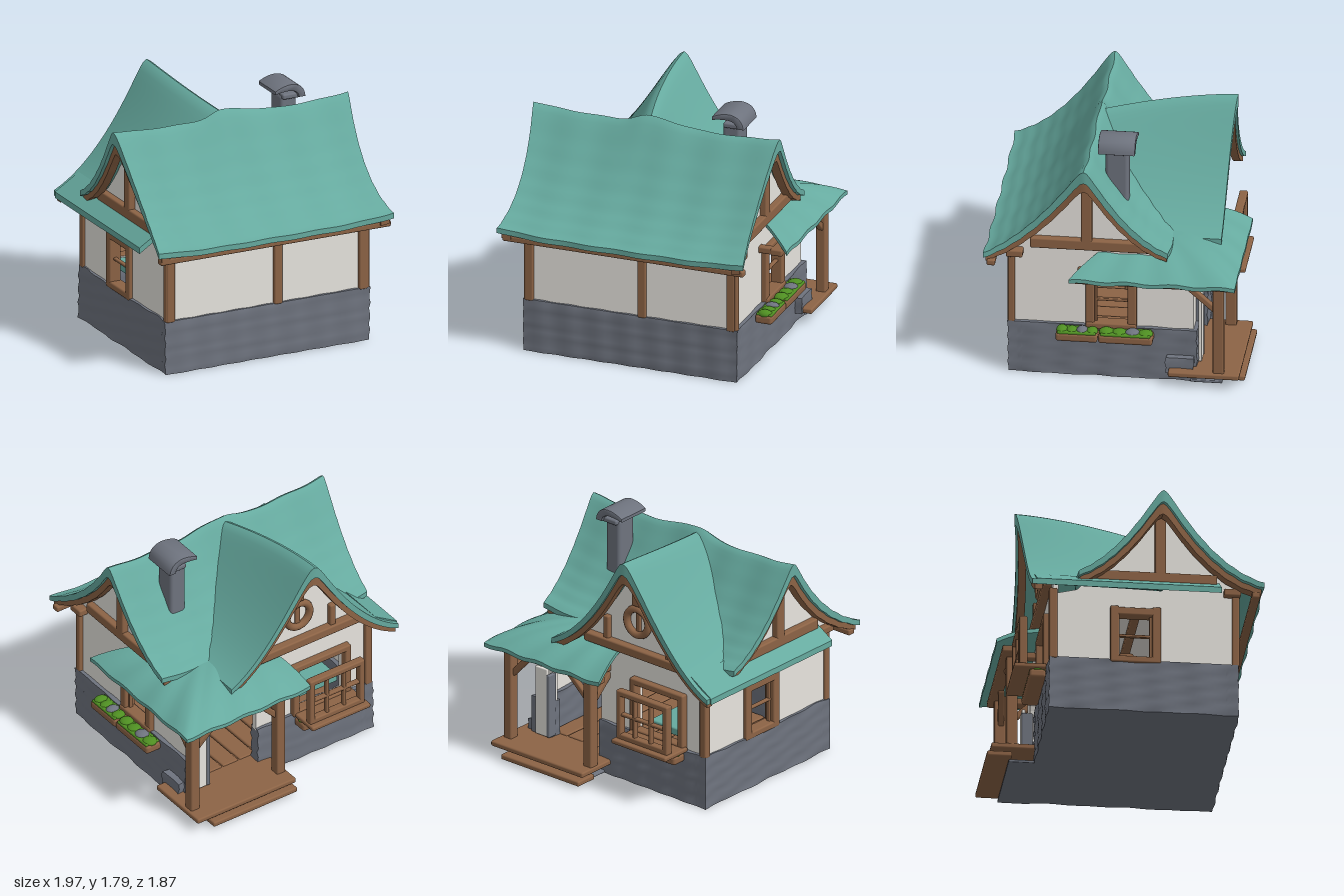
import * as THREE from 'three';
import { toCreasedNormals } from 'three/addons/utils/BufferGeometryUtils.js';
import { RoundedBoxGeometry } from 'three/addons/geometries/RoundedBoxGeometry.js';

const V = (x, y, z) => new THREE.Vector3(x, y, z);
const lerp = THREE.MathUtils.lerp;
const mat = (name, color) => Object.assign(new THREE.MeshStandardMaterial({ color }), { name });

// Concave roof slope: height lost at distance d from the ridge, softly rounded over radius r
const slope = (d, reach, drop, r) => {
  const t = (Math.hypot(d, r) - r) / (Math.hypot(reach, r) - r);
  return drop * (1.6 * t - 0.6 * t * t);
};
const mainY = z => 1.65 - (z > 0.2 ? slope(z - 0.2, 0.72, 0.69, 0.03) : slope(0.2 - z, 0.6, 0.64, 0.03));
const gableY = (x, rx, ridge) => ridge - (x > rx ? slope(x - rx, 0.48 - rx, ridge - 0.99, 0.045) : slope(rx - x, rx + 0.98, ridge - 0.94, 0.045));

// Main roof surface: u runs along x, s from the front eave (-1) over the ridge to the back eave (1)
function mainRoof(u, s) {
  const z = s < 0 ? 0.2 - s * 0.72 : 0.2 - s * 0.6;
  const flare = 0.045 * (s < 0 ? (2 * -s - 1) ** 2 : 1 - s);
  const x = lerp(-0.945 - flare, 0.845 + flare, u);
  const ridge = 1 - Math.abs(s);
  const lift = 0.03 * (2 * u - 1) ** 4 + 0.06 * ridge ** 3 * Math.exp(-(((x + 0.12) / (x > -0.12 ? 0.28 : 0.12)) ** 2));
  return V(x, mainY(z) + lift + 0.003 * Math.sin(s * 42) * (1 - ridge ** 4), z + 0.006 * Math.sin(x * 17));
}
// Back gable roof: u runs from the back verge to the main ridge, s from left eave to right eave
function gableRoof(u, s) {
  const rx = -0.22 + 0.12 * u * u, ridge = 1.795 - 0.12 * u ** 1.4;
  const x = s < 0 ? lerp(rx, -0.98, -s) : lerp(rx, 0.48, s);
  const zBack = -0.735 - 0.04 * (1 - Math.abs(s)) ** 4;
  return V(x, gableY(x, rx, ridge), lerp(zBack, 0.2, u));
}
// Porch roof wraps the corner: u follows the eave, s climbs inward
function porchRoof(u, s) {
  const o = 0.54 * s, y = 0.86 + 0.155 * (1 - (1 - s) ** 2.4);
  const a = V(0.98 - o, y, 0.3 - o * 0.8), b = V(0.98 - o, y, -0.89 + o), c = V(-0.1 + o * 0.25, y, -0.89 + o);
  const p = u < 0.5 ? a.lerp(b, u * 2) : b.lerp(c, u * 2 - 1);
  p.y += 0.008 * Math.sin(u * 45) * (1 - s);
  return p;
}
// Roof and bargeboard thickness, thinning toward the eaves
const roofThick = s => lerp(0.09, 0.04, Math.abs(s));
const boardThick = s => lerp(0.085, 0.045, Math.abs(s));

// Solid sheet hung below a surface, with vertical thickness thick(s)
function sheet(fn, nu, ns, thick, s0 = -1, s1 = 1) {
  const pos = [], idx = [], n = 2 * (ns + 1);
  for (let i = 0; i <= nu; i++) {
    const under = [];
    for (let j = 0; j <= ns; j++) {
      const s = lerp(s0, s1, j / ns), p = fn(i / nu, s);
      pos.push(p.x, p.y, p.z);
      under.unshift(p.x, p.y - thick(s), p.z);
    }
    // Underside points run back in reverse order
    pos.push(...under);
  }
  const quad = (a, b, c, d) => idx.push(a, b, c, a, c, d);
  for (let i = 0; i < nu; i++) for (let j = 0; j < n; j++) {
    const k = (j + 1) % n;
    quad(i * n + j, i * n + k, (i + 1) * n + k, (i + 1) * n + j);
  }
  for (let j = 0; j < ns; j++) {
    quad(j, n - 1 - j, n - 2 - j, j + 1);
    const e = nu * n;
    quad(e + j, e + j + 1, e + n - 2 - j, e + n - 1 - j);
  }
  // Turn faces outward by the sign of the enclosed volume
  let vol = 0;
  const at = k => V(pos[3 * k], pos[3 * k + 1], pos[3 * k + 2]);
  for (let i = 0; i < idx.length; i += 3) vol += at(idx[i]).dot(at(idx[i + 1]).cross(at(idx[i + 2])));
  if (vol < 0) idx.reverse();
  const geo = new THREE.BufferGeometry();
  geo.setAttribute('position', new THREE.Float32BufferAttribute(pos, 3));
  geo.setIndex(idx);
  return toCreasedNormals(geo, 0.9);
}

export function createModel() {
  const g = new THREE.Group();
  const teal = mat('roof teal', 0x66aa9f), wood = mat('timber brown', 0x8c6345), cream = mat('plaster cream', 0xe8e5df);
  const stone = mat('stone grey', 0x6e737e), green = mat('leaf green', 0x4f8f22);
  const add = (name, geo, m) => {
    const mesh = new THREE.Mesh(geo, m);
    mesh.name = name;
    g.add(mesh);
    return mesh;
  };
  // Rounded box from min and max corners
  const box = (name, m, x0, x1, y0, y1, z0, z1, r = 0.012) => {
    const w = x1 - x0, h = y1 - y0, d = z1 - z0;
    const mesh = add(name, new RoundedBoxGeometry(w, h, d, 2, Math.min(r, w / 3, h / 3, d / 3)), m);
    mesh.position.set((x0 + x1) / 2, (y0 + y1) / 2, (z0 + z1) / 2);
  };
  const beam = (name, a, b, w) => {
    const dir = b.clone().sub(a);
    const mesh = add(name, new RoundedBoxGeometry(w, dir.length(), w, 2, w / 4), wood);
    mesh.position.copy(a).add(b).multiplyScalar(0.5);
    mesh.quaternion.setFromUnitVectors(V(0, 1, 0), dir.normalize());
  };
  // Lumpy masonry block
  const masonry = (x0, x1, y0, y1, z0, z1) => {
    const w = x1 - x0, h = y1 - y0, d = z1 - z0, seg = v => Math.max(2, Math.round(v * 26));
    const geo = new THREE.BoxGeometry(w, h, d, seg(w), seg(h), seg(d)).translate((x0 + x1) / 2, (y0 + y1) / 2, (z0 + z1) / 2);
    const p = geo.attributes.position;
    for (let i = 0; i < p.count; i++) {
      const x = p.getX(i), y = p.getY(i), z = p.getZ(i);
      const k = 0.009 * Math.sin(13 * x + 31 * y + 5 * z) * Math.sin(17 * z - 29 * y + 15 * x);
      p.setXYZ(i, x + k, y < 0.01 ? y : y + k * 0.5, z + k);
    }
    add('stoneBase', toCreasedNormals(geo, 0.8), stone);
  };

  // Stone base with a doorway gap at the back
  masonry(-0.85, 0.78, 0, 0.4, 0.66, 0.76);
  masonry(-0.85, -0.75, 0, 0.4, -0.6, 0.7);
  masonry(0.68, 0.78, 0, 0.4, -0.6, 0.7);
  masonry(-0.8, 0.15, 0, 0.4, -0.6, -0.5);
  masonry(0.6, 0.74, 0, 0.4, -0.6, -0.5);
  masonry(0.74, 0.83, 0.08, 0.2, -0.58, -0.38);
  box('groundSlab', stone, -0.84, 0.77, 0, 0.08, -0.59, 0.75);
  box('porchFooting', stone, 0.1, 0.8, 0, 0.02, -0.78, -0.55);

  // Plaster walls and ceiling
  box('frontWall', cream, -0.82, 0.75, 0.38, 0.95, 0.7, 0.74, 0.004);
  box('ceiling', cream, -0.8, 0.72, 0.9, 0.92, -0.54, 0.71, 0.004);
  const hole = (x0, x1, y0, y1) => new THREE.Path([[x0, y0], [x0, y1], [x1, y1], [x1, y0]].map(p => new THREE.Vector2(...p)));
  for (const x of [0.75, -0.79]) {
    const pts = [[-0.57, 0.38], [0.74, 0.38], [0.74, 0.95]];
    for (let i = 0; i <= 24; i++) { const z = lerp(0.72, -0.36, i / 24); pts.push([z, mainY(z) - 0.05]); }
    pts.push([-0.4, 0.94], [-0.57, 0.9]);
    const shape = new THREE.Shape(pts.map(p => new THREE.Vector2(...p)));
    shape.holes.push(hole(-0.12, 0.15, 0.42, 0.77));
    const geo = new THREE.ExtrudeGeometry(shape, { depth: 0.04, bevelEnabled: false });
    add('gableSideWall', geo.rotateY(-Math.PI / 2), cream).position.x = x;
  }
  const back = new THREE.Shape();
  back.moveTo(-0.82, 0.38).lineTo(0.15, 0.38).lineTo(0.15, 0.58);
  back.absarc(0.375, 0.58, 0.225, Math.PI, 0, true);
  back.lineTo(0.6, 0.38).lineTo(0.75, 0.38).lineTo(0.75, 0.9).lineTo(0.46, 0.93);
  for (let i = 0; i <= 30; i++) { const x = lerp(0.44, -0.82, i / 30); back.lineTo(x, gableY(x, -0.21, 1.77) - 0.05); }
  back.holes.push(hole(-0.6, -0.2, 0.43, 0.78));
  add('backWall', new THREE.ExtrudeGeometry(back, { depth: 0.04, bevelEnabled: false }), cream).position.z = -0.57;

  // Roofs
  add('mainRoof', sheet(mainRoof, 48, 60, roofThick), teal);
  add('backGableRoof', sheet(gableRoof, 24, 48, roofThick), teal);
  add('porchRoof', sheet(porchRoof, 40, 12, () => 0.03, 0, 1), teal);
  add('sideEave', sheet((u, s) => V(lerp(-0.99, -0.8, s), 0.94 + 0.12 * s, lerp(-0.7, 0.62, u)), 8, 4, () => 0.045, 0, 1), teal);

  // Bargeboards following each gable
  const board = (fn, u0, u1) => {
    const path = (u, s) => fn(lerp(u0, u1, u), s * 0.98).add(V(0, 0.005 - roofThick(s), 0));
    add('bargeboard', sheet(path, 1, 48, boardThick), wood);
  };
  board(mainRoof, 0.015, 0.05);
  board(mainRoof, 0.95, 0.985);
  board(gableRoof, 0.02, 0.08);

  // Side gable timbers
  for (const [x0, x1] of [[0.73, 0.8], [-0.88, -0.81]]) {
    box('tieBeam', wood, x0, x1, 1.005, 1.085, -0.26, 0.6);
    box('kingPost', wood, x0, x1, 1.06, 1.54, 0.155, 0.235);
    box('eaveBracket', wood, x0, x1 + 0.02, 0.93, 0.985, 0.65, 0.77);
  }
  // Wall posts and front eave beam
  for (const x of [-0.81, 0.05, 0.73]) box('frontPost', wood, x - 0.033, x + 0.033, 0.39, 0.95, 0.71, 0.765);
  for (const x of [-0.83, 0.75]) box('cornerPost', wood, x - 0.02, x + 0.03, 0.39, 0.96, 0.71, 0.76);
  box('backCornerPost', wood, -0.85, -0.79, 0.39, 0.94, -0.6, -0.54);
  box('frontEaveBeam', wood, -0.96, 0.88, 0.885, 0.93, 0.84, 0.9);

  // Back gable timbers and round window
  box('tieBeam', wood, -0.74, 0.27, 1.0, 1.07, -0.63, -0.56);
  box('kingPostTop', wood, -0.24, -0.17, 1.4, 1.68, -0.62, -0.56);
  for (const x of [-0.5, 0.08]) box('gableStrut', wood, x - 0.025, x + 0.025, 1.05, 1.24, -0.61, -0.56);
  add('roundWindowFrame', new THREE.TorusGeometry(0.1, 0.028, 10, 28), wood).position.set(-0.205, 1.27, -0.59);
  box('roundWindowBar', wood, -0.225, -0.185, 1.18, 1.36, -0.59, -0.565);

  // Side windows
  for (const [x0, x1] of [[0.7, 0.79], [-0.86, -0.77]]) {
    for (const z of [-0.13, 0.17]) box('windowJamb', wood, x0, x1, 0.38, 0.82, z - 0.032, z + 0.032);
    box('windowHead', wood, x0, x1, 0.75, 0.81, -0.15, 0.19);
    box('windowSill', wood, x0, x1 + 0.01, 0.38, 0.43, -0.16, 0.2);
    box('windowBar', wood, x0 + 0.03, x1 - 0.03, 0.59, 0.61, -0.11, 0.15);
    box('windowBar', wood, x0 + 0.03, x1 - 0.03, 0.42, 0.77, 0.12, 0.14);
  }
  // Back window: fixed frame on the wall and a barred sash standing proud of it
  const frame = (x0, x1, y0, y1, z0, z1, w) => {
    for (const x of [x0, x1 - w]) box('windowStile', wood, x, x + w, y0, y1, z0, z1);
    for (const y of [y0, y1 - w]) box('windowRail', wood, x0, x1, y, y + w, z0, z1);
  };
  frame(-0.65, -0.15, 0.39, 0.83, -0.62, -0.54, 0.05);
  frame(-0.65, -0.17, 0.42, 0.8, -0.79, -0.73, 0.045);
  for (const x of [-0.48, -0.33]) box('sashBar', wood, x - 0.012, x + 0.012, 0.43, 0.79, -0.78, -0.74);
  box('sashBar', wood, -0.64, -0.18, 0.598, 0.622, -0.78, -0.74);
  box('backWindowSill', wood, -0.67, -0.16, 0.39, 0.425, -0.83, -0.58);

  // Flower boxes with a bed of leaves, mounds and a pebble
  const flowers = (cx, cz, lx, lz) => {
    box('flowerBox', wood, cx - lx / 2, cx + lx / 2, 0.32, 0.385, cz - lz / 2, cz + lz / 2, 0.02);
    box('leafBed', green, cx - lx * 0.45, cx + lx * 0.45, 0.37, 0.396, cz - lz * 0.46, cz + lz * 0.46);
    for (let i = 0; i < 4; i++) {
      const t = (i - 1.5) * 0.24, along = lx > lz;
      const plant = add(i === 1 ? 'pebble' : 'plant', new THREE.SphereGeometry(1, 14, 8), i === 1 ? stone : green);
      plant.position.set(cx + (along ? t * lx : 0), 0.387, cz + (along ? 0 : t * lz));
      plant.scale.set(lx * (along ? 0.14 : 0.42), 0.024 + 0.006 * (i % 2), lz * (along ? 0.42 : 0.14));
    }
  };
  flowers(0.84, 0.255, 0.13, 0.3);
  flowers(0.84, -0.095, 0.13, 0.39);
  flowers(-0.41, -0.66, 0.5, 0.12);

  // Porch deck, step, plank floor and furnishings
  box('porchDeck', wood, 0.04, 0.9, 0.08, 0.12, -0.91, -0.4);
  box('porchStep', wood, 0.05, 0.78, 0.02, 0.06, -0.94, -0.76);
  for (let i = 0; i < 10; i++) box('floorPlank', wood, -0.75 + i * 0.143, -0.615 + i * 0.143, 0.08, 0.13, -0.5, 0.66);
  for (const z of [-0.3, 0.05, 0.4]) box('ceilingBeam', wood, -0.78, 0.7, 0.85, 0.905, z - 0.03, z + 0.03);
  box('cupboard', wood, -0.45, -0.3, 0.12, 0.64, -0.05, 0.05);
  box('bed', teal, -0.65, -0.2, 0.4, 0.46, -0.45, -0.15);
  box('doorEdge', stone, 0.59, 0.62, 0.13, 0.62, -0.63, -0.55);
  box('doorLeaf', cream, 0.615, 0.73, 0.13, 0.66, -0.625, -0.6);

  // Porch posts, beams and braces
  for (const x of [0.09, 0.84]) {
    box('porchPost', wood, x - 0.037, x + 0.037, 0.1, 0.85, -0.8, -0.72);
    const inward = x > 0.5 ? -1 : 1;
    beam('porchBrace', V(x, 0.6, -0.75), V(x + inward * 0.2, 0.81, -0.77), 0.045);
    beam('porchBrace', V(x, 0.6, -0.75), V(x, 0.8, -0.53), 0.045);
  }
  box('porchBeamSide', wood, 0.84, 0.93, 0.8, 0.85, -0.84, 0.27);
  box('porchBeamBack', wood, -0.04, 0.93, 0.8, 0.85, -0.84, -0.75);
  box('porchCrossBeam', wood, 0.06, 0.12, 0.8, 0.85, -0.8, -0.55);
  box('porchCrossBeam', wood, 0.73, 0.9, 0.8, 0.85, 0.2, 0.26);

  // Chimney with a curved cowl
  box('chimneyShaft', stone, 0.41, 0.54, 1.2, 1.69, -0.075, 0.09, 0.025);
  box('chimneyCollar', stone, 0.42, 0.57, 1.66, 1.7, -0.1, 0.11, 0.015);
  const cowl = new THREE.Shape();
  cowl.moveTo(0.35, 1.74).quadraticCurveTo(0.41, 1.775, 0.48, 1.775).quadraticCurveTo(0.57, 1.765, 0.58, 1.68);
  cowl.lineTo(0.54, 1.68).quadraticCurveTo(0.53, 1.73, 0.47, 1.737).quadraticCurveTo(0.41, 1.74, 0.35, 1.725);
  const cowlGeo = new THREE.ExtrudeGeometry(cowl, { depth: 0.25, bevelEnabled: true, bevelSize: 0.006, bevelThickness: 0.008, bevelSegments: 2, curveSegments: 10 });
  add('chimneyCowl', toCreasedNormals(cowlGeo, 0.7), stone).position.z = -0.12;
  return g;
}
